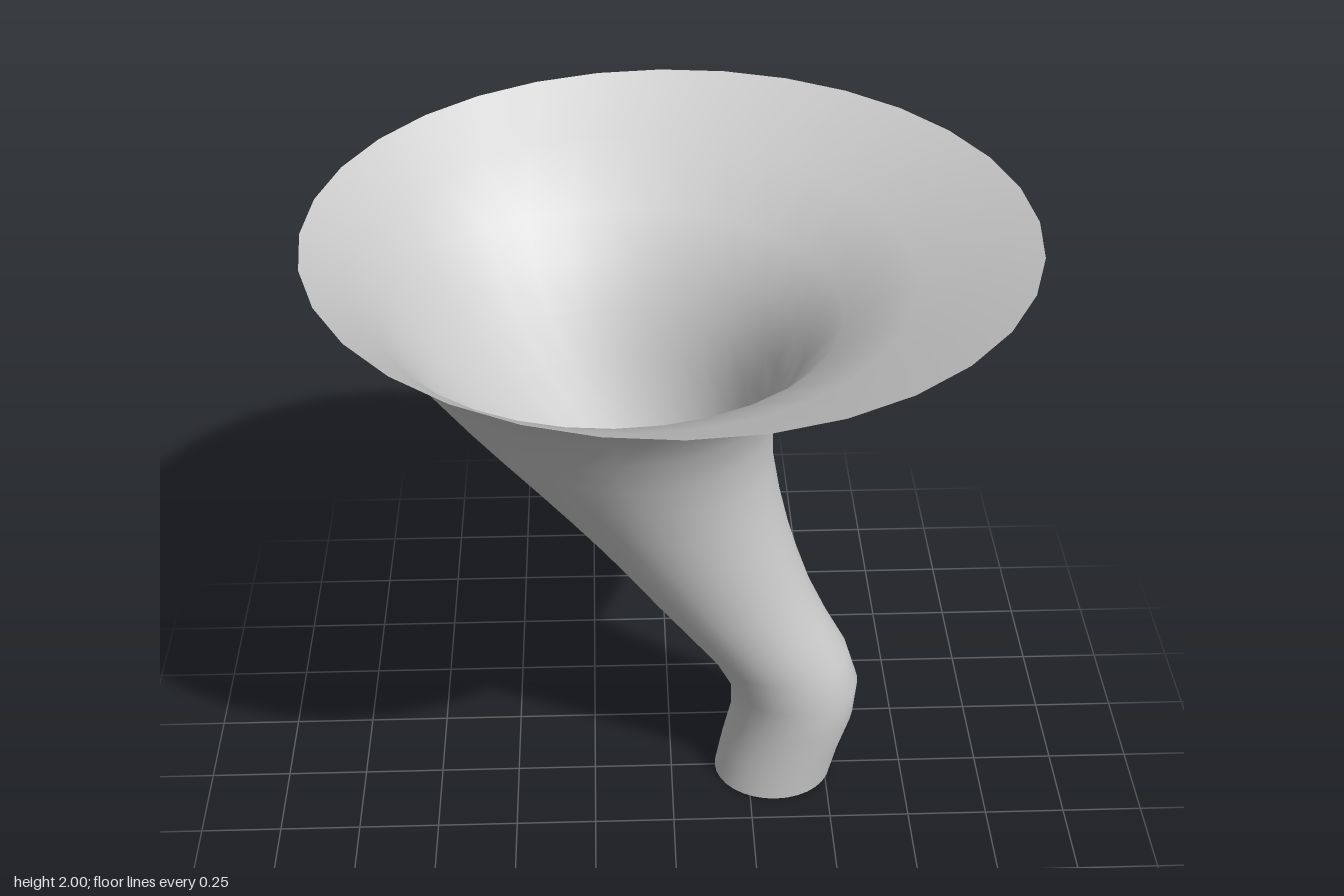
import * as THREE from 'three';

// Horizontal rings, bottom to top, evenly spaced in y: [x min, x max, z radius]
const RINGS = [
  [0.143, 0.52, 0.167], [0.165, 0.547, 0.171], [0.192, 0.583, 0.176], [0.19, 0.592, 0.183],
  [0.125, 0.553, 0.19], [0.03, 0.487, 0.2], [-0.065, 0.43, 0.213], [-0.155, 0.387, 0.23],
  [-0.25, 0.35, 0.25], [-0.35, 0.32, 0.275], [-0.45, 0.298, 0.31], [-0.55, 0.293, 0.355],
  [-0.645, 0.315, 0.41], [-0.73, 0.375, 0.485], [-0.81, 0.48, 0.585], [-0.89, 0.67, 0.79],
  [-1, 1, 1],
];
const SIDES = 32;
const HEIGHT = 2;

// Open skin through the elliptical rings, joined without a seam
function loftRings(rings) {
  const positions = [];
  const index = [];
  rings.forEach(([x0, x1, rz], row) => {
    const y = (HEIGHT * row) / (rings.length - 1);
    for (let i = 0; i < SIDES; i++) {
      const a = (i / SIDES) * Math.PI * 2;
      positions.push((x0 + x1) / 2 + ((x1 - x0) / 2) * Math.cos(a), y, rz * Math.sin(a));
      if (row === 0) continue;
      const next = (i + 1) % SIDES;
      const a0 = (row - 1) * SIDES + i, b0 = (row - 1) * SIDES + next;
      const a1 = row * SIDES + i, b1 = row * SIDES + next;
      index.push(a0, a1, b0, b0, a1, b1);
    }
  });
  const geometry = new THREE.BufferGeometry();
  geometry.setAttribute('position', new THREE.Float32BufferAttribute(positions, 3));
  geometry.setIndex(index);
  geometry.computeVertexNormals();
  return geometry;
}

export function createModel() {
  const group = new THREE.Group();
  group.name = 'bentFunnel';
  const material = new THREE.MeshStandardMaterial({ color: 0xcccccc, side: THREE.DoubleSide });

  // Thin funnel wall: short spout, leaning neck and flared mouth in one smooth skin
  const wall = new THREE.Mesh(loftRings(RINGS), material);
  wall.name = 'funnelWall';
  group.add(wall);
  return group;
}
